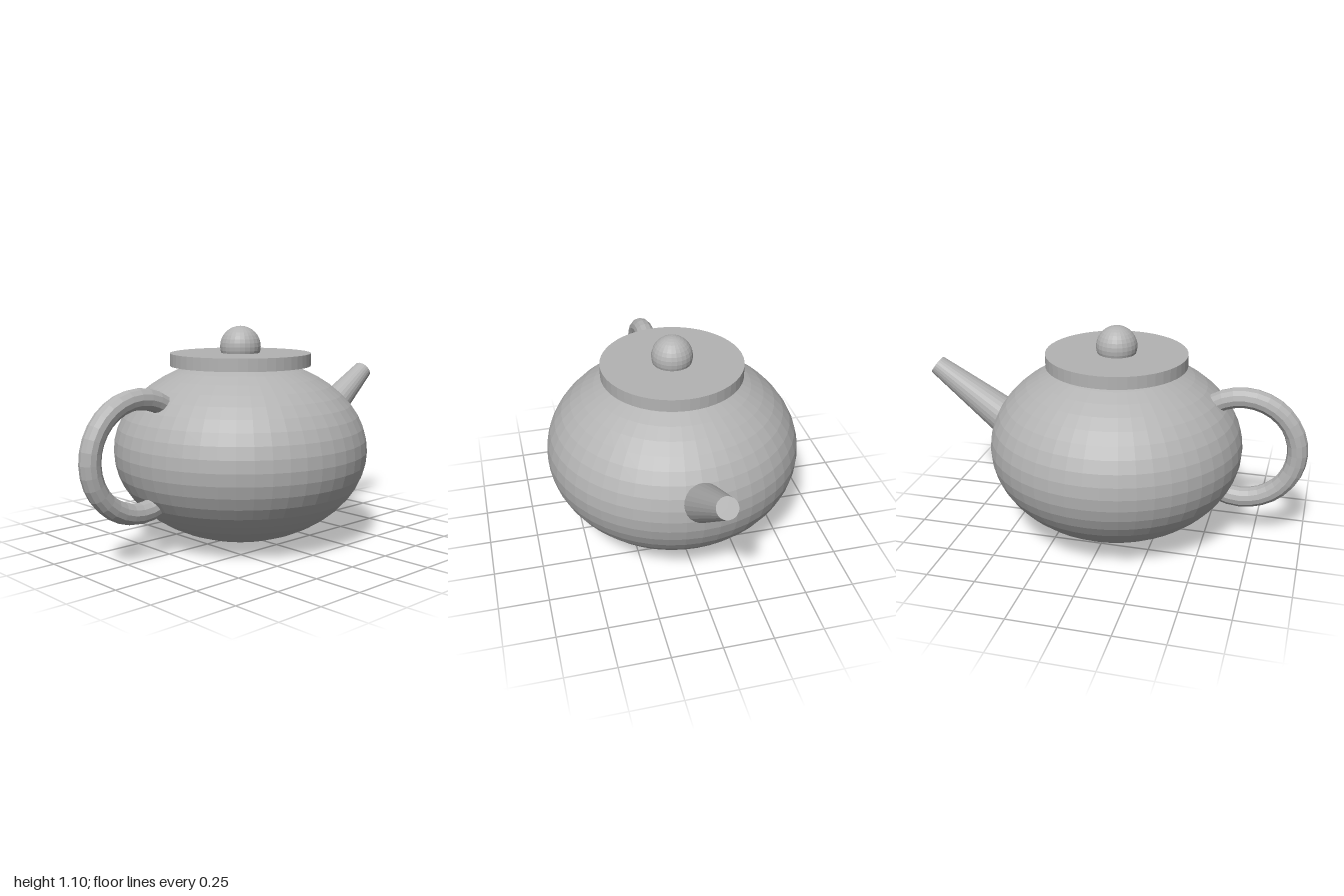
import * as THREE from 'three';

export function createModel() {
  const model = new THREE.Group();
  model.name = 'teapot';
  const clay = new THREE.MeshStandardMaterial({ color: 0xb3b3b3, flatShading: true });
  clay.name = 'grey clay';

  const add = (name, geometry, x, y) => {
    const mesh = new THREE.Mesh(geometry, clay);
    mesh.name = name;
    mesh.position.set(x, y, 0);
    model.add(mesh);
    return mesh;
  };

  const axisX = -0.018; // the pot's turning axis

  // Squashed round body
  add('body', new THREE.SphereGeometry(0.653, 48, 24).scale(1, 0.72, 1), axisX, 0.472);

  // Flat disc lid with a ball knob
  add('lid', new THREE.CylinderGeometry(0.36, 0.36, 0.064, 48), axisX, 0.936);
  add('lidKnob', new THREE.SphereGeometry(0.104, 24, 16), axisX, 1.001);

  // Tapered spout, sunk into the body and leaning outwards
  const tip = new THREE.Vector2(0.967, 0.815);
  const lean = THREE.MathUtils.degToRad(55);
  const length = 0.52;
  const spout = add('spout', new THREE.CylinderGeometry(0.051, 0.104, length, 24),
    tip.x - Math.sin(lean) * length / 2, tip.y - Math.cos(lean) * length / 2);
  spout.rotation.z = -lean;

  // Ring handle, its inner side buried in the body
  add('handle', new THREE.TorusGeometry(0.274, 0.052, 12, 32), -0.674, 0.513);

  return model;
}
